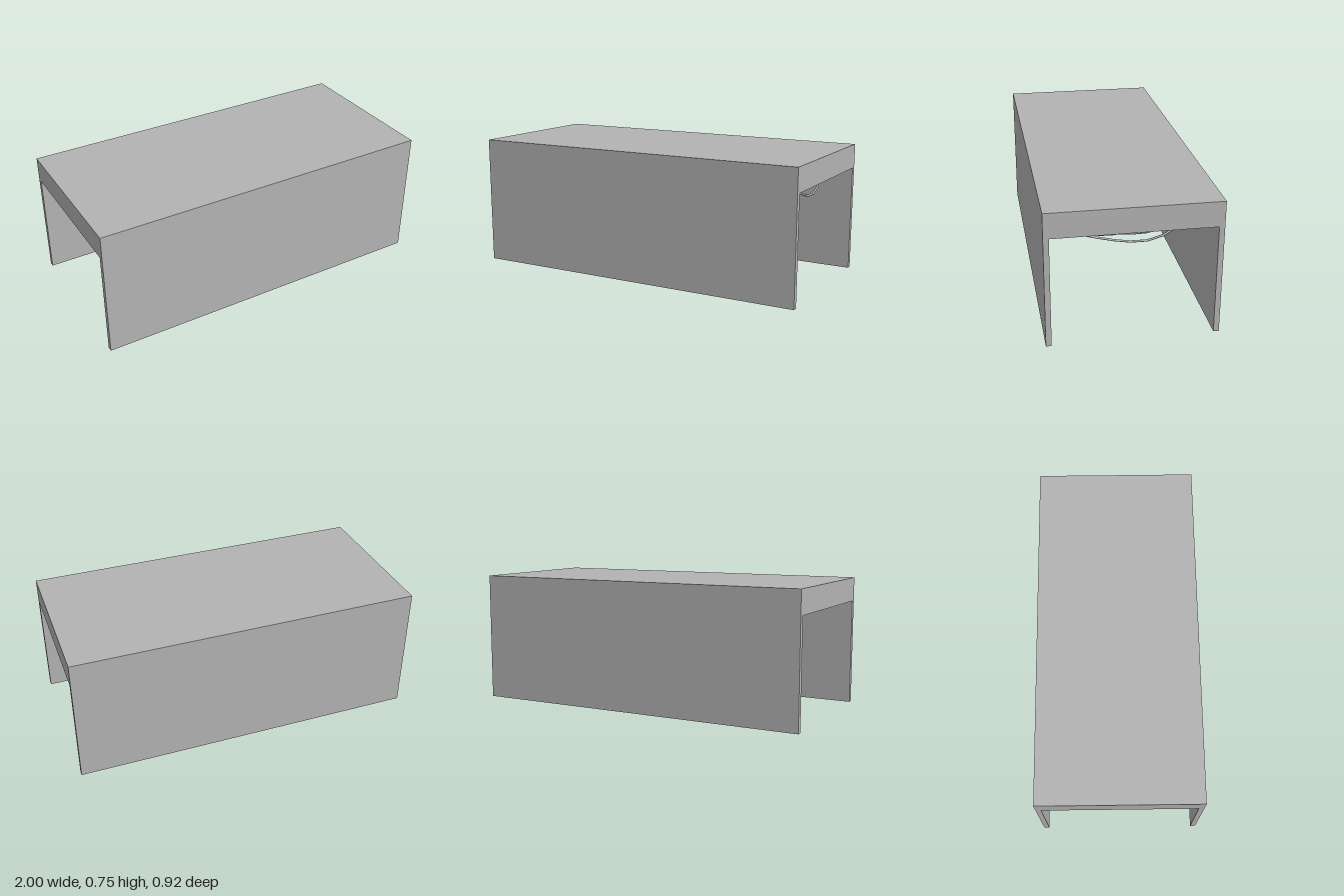
import * as THREE from 'three';

export function createModel() {
  const group = new THREE.Group();
  const concrete = new THREE.MeshStandardMaterial({ color: 0xb3b3b3 });
  concrete.name = 'plain grey';

  function box(name, w, h, d, x, y, z) {
    const mesh = new THREE.Mesh(new THREE.BoxGeometry(w, h, d), concrete);
    mesh.name = name;
    mesh.position.set(x, y, z);
    group.add(mesh);
  }

  // Side walls and roof slab
  for (const s of [1, -1]) {
    box(s > 0 ? 'frontWall' : 'backWall', 2, 0.72, 0.03, 0, 0.36, s * 0.443);
  }
  box('roofSlab', 2, 0.028, 0.916, 0, 0.734, 0);

  // Ceiling beams, the end ones half as deep along the corridor
  for (let i = 0; i < 8; i++) {
    const end = i === 0 || i === 7;
    const width = end ? 0.03 : 0.08;
    const x = end ? Math.sign(i - 3.5) * 0.985 : -1 + (i * 2) / 7;
    box('ceilingBeam', width, 0.11, 0.856, x, 0.665, 0);
  }

  // Sagging cables: each runs from xStart to xEnd through [z, y] points
  function cable(xStart, xEnd, radius, points) {
    const path = new THREE.CurvePath();
    const last = points.length - 1;
    const v = points.map(([z, y], i) =>
      new THREE.Vector3(xStart + ((xEnd - xStart) * i) / last, y, z));
    const curve = new THREE.CatmullRomCurve3(v, false, 'centripetal');
    const mesh = new THREE.Mesh(new THREE.TubeGeometry(curve, 10, radius, 8), concrete);
    mesh.name = 'hangingCable';
    group.add(mesh);
  }
  cable(0.93, 0.85, 0.006, [[0.43, 0.645], [0.34, 0.608], [0.17, 0.553], [0.07, 0.525],
    [-0.04, 0.506], [-0.14, 0.514], [-0.23, 0.555], [-0.31, 0.61], [-0.38, 0.69]]);
  cable(0.94, 0.80, 0.004, [[0.43, 0.645], [0.32, 0.607], [0.22, 0.573], [0.12, 0.554],
    [0.05, 0.55], [-0.02, 0.565], [-0.10, 0.608], [-0.17, 0.67], [-0.22, 0.72]]);
  cable(0.92, 0.88, 0.003, [[0.36, 0.68], [0.25, 0.612], [0.18, 0.586], [0.04, 0.56],
    [-0.07, 0.555], [-0.2, 0.58], [-0.27, 0.61], [-0.36, 0.67]]);
  cable(0.34, 0.24, 0.004, [[0.42, 0.65], [0.21, 0.61], [0.12, 0.594], [0.04, 0.585],
    [-0.05, 0.592], [-0.12, 0.612], [-0.24, 0.69]]);
  cable(0.32, 0.36, 0.004, [[0.43, 0.67], [0.18, 0.61], [0.05, 0.594], [-0.07, 0.588],
    [-0.16, 0.592], [-0.25, 0.61], [-0.38, 0.68]]);

  return group;
}
